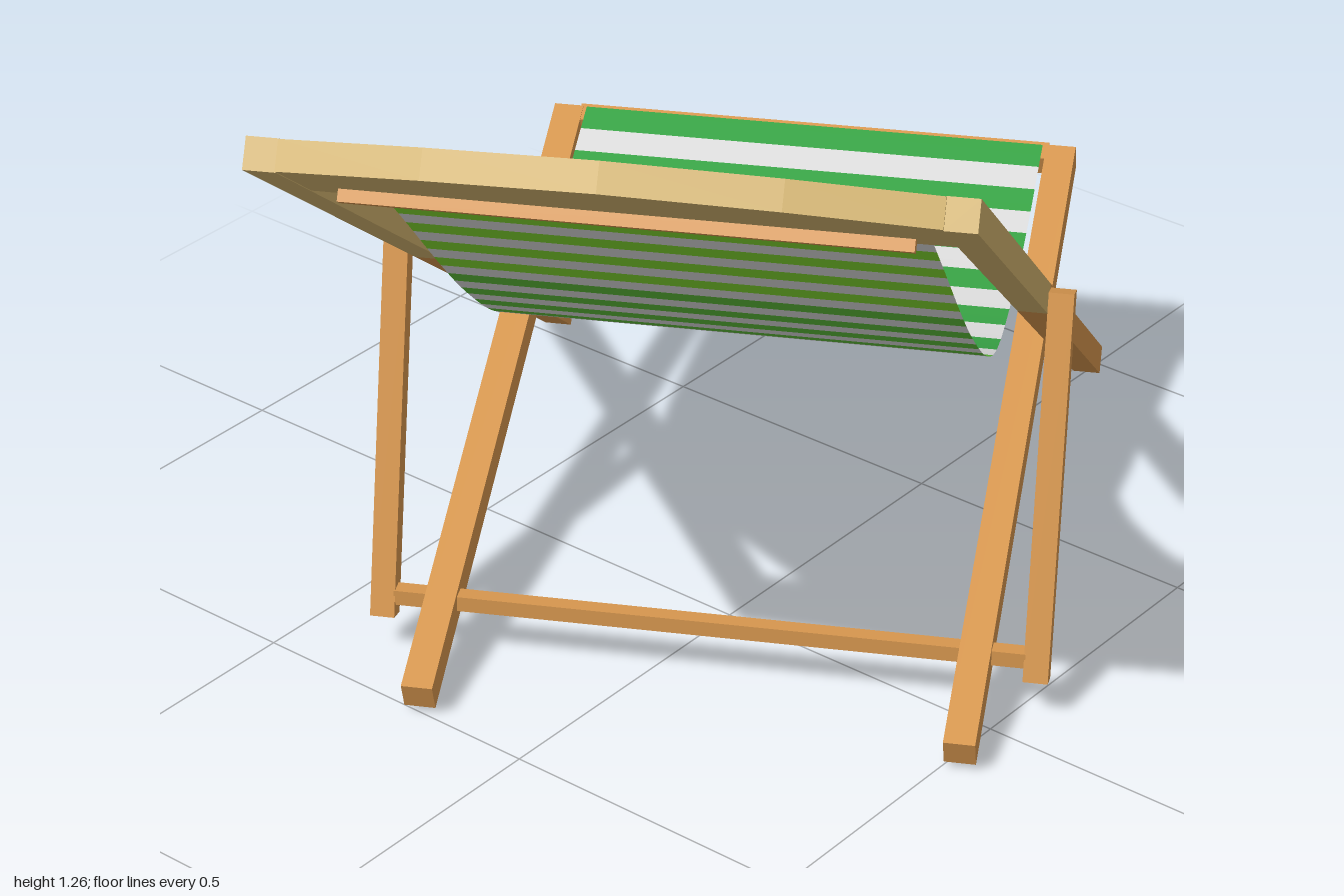
import * as THREE from 'three';
import { mergeGeometries } from 'three/addons/utils/BufferGeometryUtils.js';

const paint = (name, color, side = THREE.FrontSide) => {
  const m = new THREE.MeshStandardMaterial({ color, side });
  m.name = name;
  return m;
};

export function createModel() {
  const wood = paint('orange wood', 0xd6964e);
  const paleWood = paint('pale wood', 0xd2b36e);
  const darkWood = paint('dark wood', 0x5f3e20);
  const white = paint('white cloth', 0xdcdcdc, THREE.DoubleSide);
  const lime = paint('lime cloth', 0x82da30, THREE.DoubleSide);
  const midGreen = paint('mid green cloth', 0x5dbf39, THREE.DoubleSide);
  const green = paint('green cloth', 0x38a345, THREE.DoubleSide);

  const chair = new THREE.Group();
  chair.name = 'deckChair';

  const add = (name, geometry, material, parent = chair) => {
    const mesh = new THREE.Mesh(geometry, material);
    mesh.name = name;
    parent.add(mesh);
    return mesh;
  };

  // Square beam at side position x, running between two [z, y] points
  const beam = (name, x, a, b, width, depth, material) => {
    const dz = b[0] - a[0], dy = b[1] - a[1];
    const mesh = add(name, new THREE.BoxGeometry(width, Math.hypot(dz, dy), depth), material);
    mesh.position.set(x, (a[1] + b[1]) / 2, (a[0] + b[0]) / 2);
    mesh.rotation.x = Math.atan2(dz, dy);
    return mesh;
  };

  // Side members: long back rail, seat rail and prop strut
  const foot = [-0.862, 0.0187], pivot = [0, 0.613], head = [0.862, 1.207];
  for (const [side, s] of [['left', 1], ['right', -1]]) {
    beam(side + 'BackRailLower', s * 0.4575, foot, pivot, 0.045, 0.045, wood);
    beam(side + 'BackRailUpper', s * 0.4575, pivot, head, 0.045, 0.045, paleWood);
    beam(side + 'SeatRail', s * 0.41, [0.356, 0.033], [-0.765, 0.452], 0.048, 0.048, wood);
    beam(side + 'PropStrut', s * 0.502, [0.022, 0.64], [0.19, 0.065], 0.038, 0.034, wood);
  }

  // Cross bars
  const propBar = add('propCrossBar', new THREE.BoxGeometry(0.97, 0.025, 0.025), wood);
  propBar.position.set(0, 0.1, 0.184);
  const seatBar = add('seatCrossBar', new THREE.BoxGeometry(0.78, 0.036, 0.036), wood);
  seatBar.position.set(0, 0.452, -0.752);
  seatBar.rotation.x = 0.36;

  // Headboard, drawn in the plane of the back rails (y along the rails)
  const headFrame = new THREE.Group();
  headFrame.name = 'headFrame';
  headFrame.position.set(0, pivot[1], pivot[0]);
  headFrame.rotation.x = Math.atan2(head[0] - pivot[0], head[1] - pivot[1]);
  chair.add(headFrame);
  const outline = [[-0.436, 0.85], [0.436, 0.85], [0.436, 1.05], [0.235, 1.093],
    [0, 1.117], [-0.235, 1.093], [-0.436, 1.05]];
  const board = new THREE.ExtrudeGeometry(
    new THREE.Shape(outline.map((p) => new THREE.Vector2(...p))),
    { depth: 0.043, bevelEnabled: false });
  board.translate(0, 0, -0.0215);
  add('headboard', board, paleWood, headFrame);
  const slot = add('headSlot', new THREE.BoxGeometry(0.87, 0.03, 0.009), darkWood, headFrame);
  slot.position.set(0, 0.922, -0.022);
  const rod = add('clothRod', new THREE.BoxGeometry(0.77, 0.016, 0.022), wood, headFrame);
  rod.position.set(0.0, 0.9, 0.028);

  // Sagging striped cloth, swept along a [z, y] profile
  const profile = [[0.745, 1.157], [0.7, 1.127], [0.655, 1.085], [0.455, 0.905], [0.117, 0.605],
    [-0.095, 0.45], [-0.21, 0.398], [-0.35, 0.386], [-0.55, 0.412], [-0.755, 0.474]];
  const curve = new THREE.CatmullRomCurve3(
    profile.map(([z, y]) => new THREE.Vector3(0, y, z)), false, 'centripetal');
  const bands = 35, half = 0.38, steps = 2;
  const cloth = new Map([[white, []], [lime, []], [midGreen, []], [green, []]]);
  for (let i = 0; i < bands; i++) {
    const strip = new THREE.PlaneGeometry(2 * half, 1, 1, steps);
    const pos = strip.attributes.position;
    for (let v = 0; v < pos.count; v++) {
      const p = curve.getPointAt((i + 0.5 - pos.getY(v)) / bands);
      pos.setXYZ(v, pos.getX(v), p.y, p.z);
    }
    strip.computeVertexNormals();
    const stripe = i < 13 ? lime : i < 24 ? midGreen : green;
    cloth.get(i % 2 ? white : stripe).push(strip);
  }
  for (const [material, strips] of cloth) {
    add(material.name.replace(' cloth', '') + ' stripes', mergeGeometries(strips), material);
  }

  // The whole chair stands turned toward its left
  chair.rotation.y = 0.492;
  const model = new THREE.Group();
  model.name = 'model';
  model.add(chair);
  return model;
}
